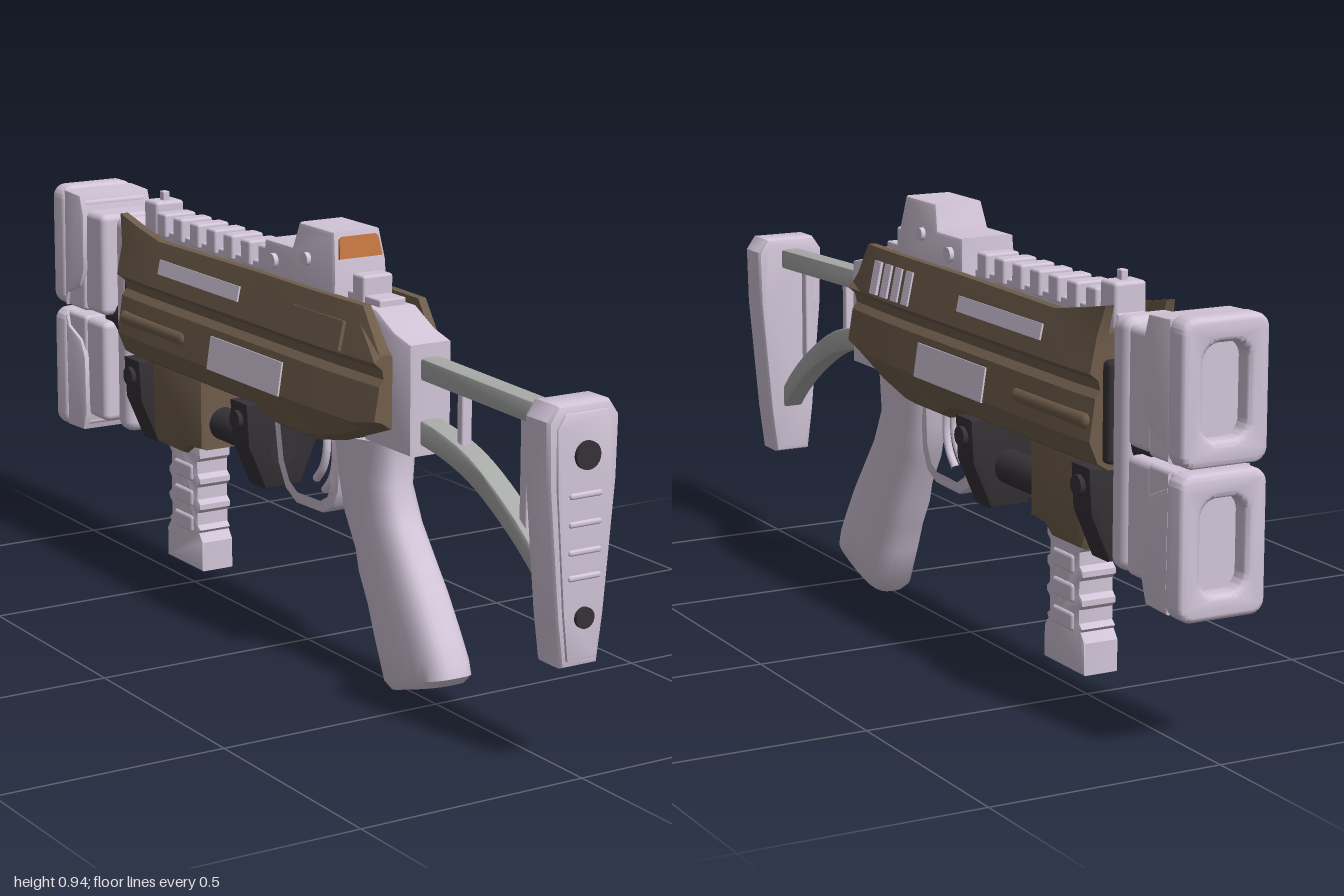
import * as THREE from 'three';
import { toCreasedNormals } from 'three/addons/utils/BufferGeometryUtils.js';
import { RoundedBoxGeometry } from 'three/addons/geometries/RoundedBoxGeometry.js';

const material = (name, color) => new THREE.MeshStandardMaterial({ name, color });

export function createModel() {
  const lilac = material('lilac', 0xd2c5d8);
  const brown = material('brown', 0x6f5d4b);
  const dark = material('charcoal', 0x353136);
  const grey = material('grey', 0xa8aaa8);
  const orange = material('orange', 0xc1733f);
  const model = new THREE.Group();
  model.name = 'toyLauncher';

  const add = (name, geo, mat, x = 0, y = 0, z = 0, parent = model) => {
    const m = new THREE.Mesh(geo, mat);
    m.name = name;
    m.position.set(x, y, z);
    parent.add(m);
    return m;
  };
  // Box given by half width and ranges in y and z
  const block = (name, mat, hx, y0, y1, z0, z1, r = 0.006, parent = model) =>
    add(name, new RoundedBoxGeometry(hx * 2, y1 - y0, z1 - z0, 2, r), mat, 0, (y0 + y1) / 2, (z0 + z1) / 2, parent);
  const toShape = pts => new THREE.Shape(pts.map(p => new THREE.Vector2(p[0], p[1])));
  const extrude = (shape, depth, bevel, segs = 2) => {
    const g = new THREE.ExtrudeGeometry(shape, {
      depth: depth - 2 * bevel, bevelEnabled: bevel > 0, bevelSize: bevel, bevelThickness: bevel,
      bevelOffset: -bevel, bevelSegments: segs, curveSegments: 10 });
    g.translate(0, 0, bevel - depth / 2);
    return toCreasedNormals(g, 0.6);
  };
  // Shape drawn in z and y, extruded across x
  const sideExtrude = (shape, width, bevel) => extrude(shape, width, bevel).rotateY(-Math.PI / 2);
  const sideProfile = (pts, width, bevel) => sideExtrude(toShape(pts), width, bevel);
  // Right half of an outline, mirrored to the left
  const mirrored = pts => [...pts, ...pts.map(([x, y]) => [-x, y]).reverse()];
  // Skin between equal rings, with flat end caps
  const loft = (rings, flat, crease) => {
    const n = rings[0].length, idx = [], last = (rings.length - 1) * n;
    for (let i = 0; i < rings.length - 1; i++) for (let j = 0; j < n; j++) {
      const a = i * n + j, b = i * n + (j + 1) % n;
      idx.push(a, a + n, b, b, a + n, b + n);
    }
    const cap = ring => THREE.ShapeUtils.triangulateShape(ring.map(p => new THREE.Vector2(...flat(p))), []);
    cap(rings[0]).forEach(([a, b, c]) => idx.push(a, b, c));
    cap(rings[rings.length - 1]).forEach(([a, b, c]) => idx.push(last + a, last + c, last + b));
    const g = new THREE.BufferGeometry();
    g.setAttribute('position', new THREE.Float32BufferAttribute(rings.flat(2), 3));
    g.setIndex(idx);
    return toCreasedNormals(g, crease);
  };
  const disc = (name, mat, r, len, axis, x, y, z) => {
    const g = new THREE.CylinderGeometry(r, r, len, 24);
    if (axis === 'x') g.rotateZ(Math.PI / 2);
    if (axis === 'z') g.rotateX(Math.PI / 2);
    return add(name, g, mat, x, y, z);
  };

  // Main body shell: z, bottom, top, width scale
  const stations = [
    [0.405, 0.565, 0.72, 0.88], [0.335, 0.54, 0.81, 0.92], [0.25, 0.51, 0.81, 0.97], [0.14, 0.487, 0.81, 1],
    [-0.02, 0.487, 0.81, 1], [-0.08, 0.51, 0.81, 1], [-0.5, 0.51, 0.805, 1], [-0.6, 0.51, 0.822, 0.99], [-0.67, 0.51, 0.84, 0.95]];
  const bodyRings = stations.map(([z, b, t, s], i) => mirrored([
    [0.06, b], [0.085, b + 0.015], [0.105, Math.max(0.57, b + 0.02)], [0.092, 0.655], [0.08, 0.67], [0.085, 0.69],
    [0.105, 0.705], [0.09, Math.min(0.775, t - 0.004)], [0.082, t], [0.062, t], [0.062, Math.min(0.78, t - 0.005)],
  ]).map(([x, y]) => [x * s, y, i === stations.length - 1 && y > 0.8 ? z - 0.02 : z]));
  add('bodyShell', loft(bodyRings, p => [p[0], p[1]], 0.35), brown);

  // Thin plates lying on the sloped upper and lower walls
  const wallPlate = (name, mat, side, y0, y1, z0, z1) => {
    const y = (y0 + y1) / 2, upper = y > 0.69;
    const slope = upper ? -0.214 : -0.153;
    const x = 0.105 + slope * (y - (upper ? 0.705 : 0.57));
    const m = add(name, new THREE.BoxGeometry(0.008, y1 - y0, z1 - z0), mat, side * x, y, (z0 + z1) / 2);
    m.rotation.z = -side * Math.atan(slope);
  };
  for (const s of [-1, 1]) {
    wallPlate('upperWindow', lilac, s, 0.737, 0.77, -0.475, -0.125);
    wallPlate('lowerWindow', lilac, s, 0.567, 0.64, -0.245, 0.055);
    const rib = new THREE.CapsuleGeometry(0.018, 0.27, 4, 12).rotateX(Math.PI / 2);
    add('sideRib', rib, brown, s * 0.088, 0.607, -0.51);
  }
  wallPlate('rearPanel', brown, -1, 0.71, 0.772, 0.09, 0.29);
  for (let i = 0; i < 4; i++) wallPlate('ventSlot', lilac, 1, 0.712, 0.785, 0.09 + i * 0.05, 0.12 + i * 0.05);

  // Stock: socket, struts, rods and butt pad
  add('stockSocket', sideProfile([[0.47, 0.52], [0.47, 0.75], [0.41, 0.765], [0.34, 0.8], [0.3, 0.8], [0.3, 0.52]], 0.1, 0.008), lilac);
  add('upperStrut', sideProfile([[0.92, 0.664], [0.92, 0.709], [0.44, 0.722], [0.44, 0.676]], 0.048, 0.006), grey);
  const strutLine = new THREE.CatmullRomCurve3([[0.92, 0.335], [0.87, 0.385], [0.785, 0.45], [0.65, 0.525], [0.55, 0.555], [0.44, 0.572]]
    .map(([z, y]) => new THREE.Vector3(0, y, z))).getPoints(24);
  const edge = d => strutLine.map(p => [p.z, p.y + d]);
  add('lowerStrut', sideProfile([...edge(0.026), ...edge(-0.026).reverse()], 0.048, 0.005), grey);
  block('stockRod', lilac, 0.012, 0.43, 0.685, 0.795, 0.82, 0.004);
  block('stockRod', lilac, 0.012, 0.54, 0.69, 0.58, 0.6, 0.004);
  const padOutline = mirrored([[0.042, 0.22], [0.055, 0.32], [0.078, 0.58], [0.081, 0.705], [0.06, 0.735]]);
  add('buttPad', extrude(toShape(padOutline), 0.087, 0.012), lilac, 0, 0, 0.9435);
  const padFace = padOutline.map(([x, y]) => [x * 0.82, 0.475 + (y - 0.475) * 0.94]);
  add('buttPadFace', extrude(toShape(padFace), 0.02, 0.005), lilac, 0, 0, 0.982);
  for (const y of [0.4, 0.45, 0.505, 0.56]) {
    add('padRidge', new RoundedBoxGeometry(0.075, 0.012, 0.012, 2, 0.005), lilac, 0, y, 0.991);
  }
  disc('padScrew', dark, 0.028, 0.02, 'z', 0, 0.637, 0.99);
  disc('padScrew', dark, 0.021, 0.02, 'z', 0, 0.32, 0.99);

  // Pistol grip: front z, front y, back z, back y, half width
  const gripRings = [
    [0.15, 0.5, 0.38, 0.53, 0.05], [0.165, 0.42, 0.37, 0.43, 0.048], [0.19, 0.345, 0.405, 0.355, 0.05], [0.235, 0.275, 0.46, 0.28, 0.052],
    [0.25, 0.23, 0.5, 0.225, 0.055], [0.285, 0.17, 0.545, 0.155, 0.056], [0.31, 0.11, 0.575, 0.105, 0.057],
    [0.352, 0.015, 0.583, 0.08, 0.056], [0.372, 0, 0.565, 0.06, 0.045],
  ].map(([zf, yf, zb, yb, w]) => Array.from({ length: 28 }, (_, i) => {
    const t = i / 28 * Math.PI * 2, pw = v => Math.sign(v) * Math.abs(v) ** 0.65;
    const c = pw(Math.cos(t)) / 2;
    return [w * pw(Math.sin(t)), (yf + yb) / 2 + c * (yb - yf), (zf + zb) / 2 + c * (zb - zf)];
  }));
  add('pistolGrip', loft(gripRings, p => [p[2], p[0]], 0.7), lilac);

  // Trigger guard and trigger
  const guard = toShape([[0.18, 0.5], [0.168, 0.375], [0.145, 0.335], [0.105, 0.315], [0, 0.312], [-0.045, 0.335], [-0.075, 0.385], [-0.095, 0.5]]);
  guard.holes.push(toShape([[0.155, 0.49], [0.148, 0.39], [0.13, 0.352], [0.1, 0.336], [0.005, 0.333], [-0.03, 0.352], [-0.055, 0.395], [-0.072, 0.49]]));
  add('triggerGuard', sideExtrude(guard, 0.06, 0.004), lilac);
  for (const dz of [0, 0.035]) {
    const curve = new THREE.CatmullRomCurve3([[0.075, 0.5], [0.076, 0.44], [0.062, 0.4], [0.035, 0.37]]
      .map(([z, y]) => new THREE.Vector3(0, y - dz * 0.5, z + dz)));
    add('trigger', new THREE.TubeGeometry(curve, 14, 0.009, 8), lilac);
  }

  // Under-barrel rod, clamps, holder and front grip
  disc('underRod', dark, 0.037, 0.52, 'z', 0, 0.407, -0.36);
  for (const z of [-0.138, -0.622]) {
    const outline = mirrored([[0.045, 0.32], [0.088, 0.42], [0.093, 0.515]]);
    add('clamp', extrude(toShape(outline), 0.075, 0.008), dark, 0, 0, z);
    for (const s of [-1, 1]) disc('clampBolt', dark, 0.021, 0.02, 'x', s * 0.092, 0.475, z);
  }
  add('gripHolder', sideProfile([[-0.36, 0.52], [-0.36, 0.35], [-0.42, 0.345], [-0.45, 0.325], [-0.57, 0.325], [-0.585, 0.36], [-0.585, 0.52]], 0.12, 0.015), brown);
  const gripEdge = [[0.072, 0.36]];
  for (let i = 0; i < 3; i++) {
    const y = 0.32 - i * 0.06;
    gripEdge.push([0.072, y], [0.06, y - 0.01], [0.06, y - 0.038], [0.072, y - 0.048]);
  }
  gripEdge.push([0.066, 0.145], [0.081, 0.125], [0.081, 0.058]);
  add('frontGrip', sideProfile(mirrored(gripEdge), 0.08, 0.004), lilac, 0, 0, -0.473);
  for (let i = 0; i < 3; i++) block('frontGripPad', lilac, 0.045, 0.26 - i * 0.06, 0.3 - i * 0.06, -0.515, -0.43, 0.008);

  // Top rail and front sight
  block('railBase', lilac, 0.032, 0.765, 0.815, -0.66, 0.33, 0.004);
  for (let i = 0; i < 7; i++) block('railTooth', lilac, 0.04, 0.8, 0.855, -0.142 - i * 0.0745, -0.1 - i * 0.0745, 0.006);
  block('rearNotch', lilac, 0.036, 0.78, 0.855, 0.23, 0.275, 0.006);
  block('frontSight', lilac, 0.036, 0.78, 0.875, -0.655, -0.595, 0.008);
  block('frontSightPin', lilac, 0.008, 0.86, 0.895, -0.632, -0.612, 0.003);

  // Optic housing, narrowing upwards
  const optic = sideProfile([[0.21, 0.785], [0.207, 0.87], [0.192, 0.935], [0.055, 0.935], [0.036, 0.88], [-0.075, 0.88], [-0.083, 0.785]], 0.132, 0.008);
  const op = optic.attributes.position;
  for (let i = 0; i < op.count; i++) op.setX(i, op.getX(i) * (1 - Math.max(0, op.getY(i) - 0.84) * 1.6));
  add('optic', optic, lilac);
  const lens = extrude(toShape(mirrored([[0.052, -0.023], [0.047, 0.018], [0.04, 0.023]])), 0.006, 0);
  add('opticLens', lens, orange, 0, 0.902, 0.2015).rotation.x = -0.227;
  for (const s of [-1, 1]) {
    disc('opticKnob', lilac, 0.014, 0.02, 'x', s * 0.062, 0.865, 0.1);
    disc('opticKnob', lilac, 0.016, 0.02, 'x', s * 0.064, 0.84, -0.03);
  }

  // Neck behind the twin muzzle
  block('neckCollar', dark, 0.07, 0.525, 0.73, -0.695, -0.65, 0.01);
  block('neckPlate', lilac, 0.065, 0.32, 0.825, -0.752, -0.685, 0.025);
  disc('neckShaft', dark, 0.053, 0.14, 'z', 0, 0.577, -0.75);

  // One muzzle half, repeated upside down
  const roundRect = (hx, y0, y1, r) => {
    const p = new THREE.Shape();
    p.absarc(hx - r, y0 + r, r, -Math.PI / 2, 0).absarc(hx - r, y1 - r, r, 0, Math.PI / 2);
    p.absarc(-hx + r, y1 - r, r, Math.PI / 2, Math.PI).absarc(-hx + r, y0 + r, r, Math.PI, Math.PI * 1.5);
    return p.closePath();
  };
  for (const flip of [0, 1]) {
    const half = new THREE.Group();
    half.name = flip ? 'lowerMuzzle' : 'upperMuzzle';
    half.position.y = 0.575;
    half.rotation.z = flip * Math.PI;
    model.add(half);
    block('muzzleBack', lilac, 0.08, 0.008, 0.245, -0.87, -0.775, 0.015, half);
    add('muzzleMiddle', sideProfile([[-0.945, 0.008], [-0.945, 0.283], [-0.868, 0.28], [-0.852, 0.235], [-0.855, 0.105], [-0.875, 0.065], [-0.935, 0.04]], 0.182, 0.004), lilac, 0, 0, 0, half);
    block('muzzleCore', lilac, 0.084, 0.006, 0.27, -0.96, -0.86, 0.01, half);
    const rim = roundRect(0.095, 0.005, 0.29, 0.03);
    rim.holes.push(roundRect(0.05, 0.055, 0.24, 0.035));
    add('muzzleRim', extrude(rim, 0.058, 0.012, 3), lilac, 0, 0, -0.971, half);
    const bolt = add('muzzleBolt', new THREE.SphereGeometry(0.05, 20, 12), lilac, 0, 0.185, -0.765, half);
    bolt.scale.set(0.8, 1, 0.55);
  }
  return model;
}
